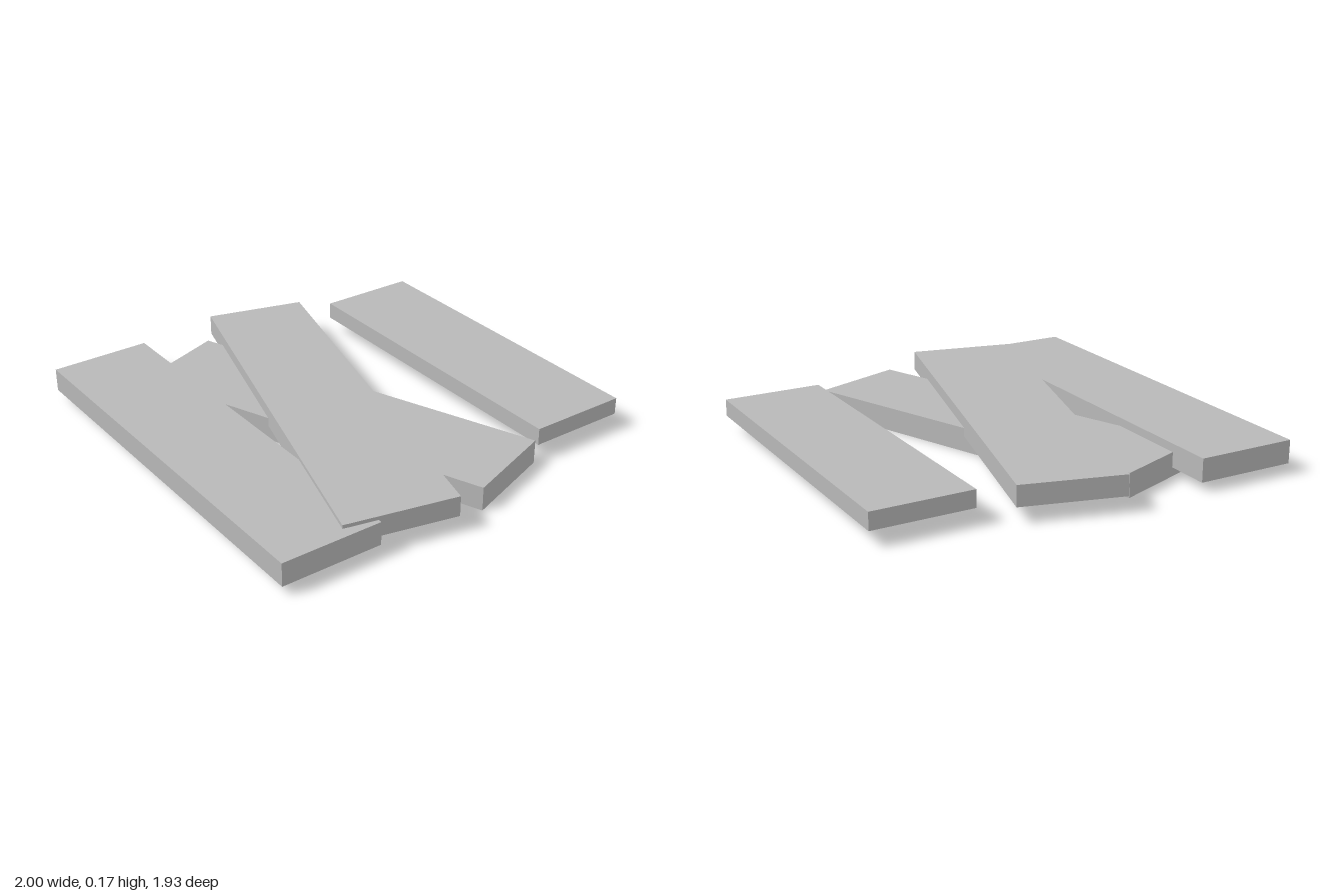
import * as THREE from 'three';

const plankGrey = new THREE.MeshStandardMaterial({ color: 0xb8b8b8 });
plankGrey.name = 'plankGrey';

// Flat plank from its four plan corners [x, z] and its height range
function plank(name, corners, bottom, top) {
  const shape = new THREE.Shape(corners.map(([x, z]) => new THREE.Vector2(x, -z)));
  const geometry = new THREE.ExtrudeGeometry(shape, { depth: top - bottom, bevelEnabled: false });
  geometry.rotateX(-Math.PI / 2);
  geometry.translate(0, bottom, 0);
  const mesh = new THREE.Mesh(geometry, plankGrey);
  mesh.name = name;
  return mesh;
}

// Corners of a plank that lies square to the axes
const rect = (x0, x1, z0, z1) => [[x0, z0], [x0, z1], [x1, z1], [x1, z0]];

export function createModel() {
  const group = new THREE.Group();
  group.name = 'plankPile';
  group.add(
    // Two straight planks at the back and front
    plank('backPlank', rect(-0.8, 0.77, -0.965, -0.495), 0.07, 0.15),
    plank('frontPlank', rect(-0.967, 0.937, 0.495, 0.965), 0.042, 0.15),
    // Two crossed planks between them
    plank('lowerCrossPlank', [[0.786, -0.46], [-0.872, 0.192], [-0.707, 0.633], [0.941, -0.03]], 0, 0.112),
    plank('upperCrossPlank', [[-0.878, -0.357], [-1, 0.098], [0.886, 0.647], [0.998, 0.142]], 0.072, 0.167),
  );
  return group;
}
